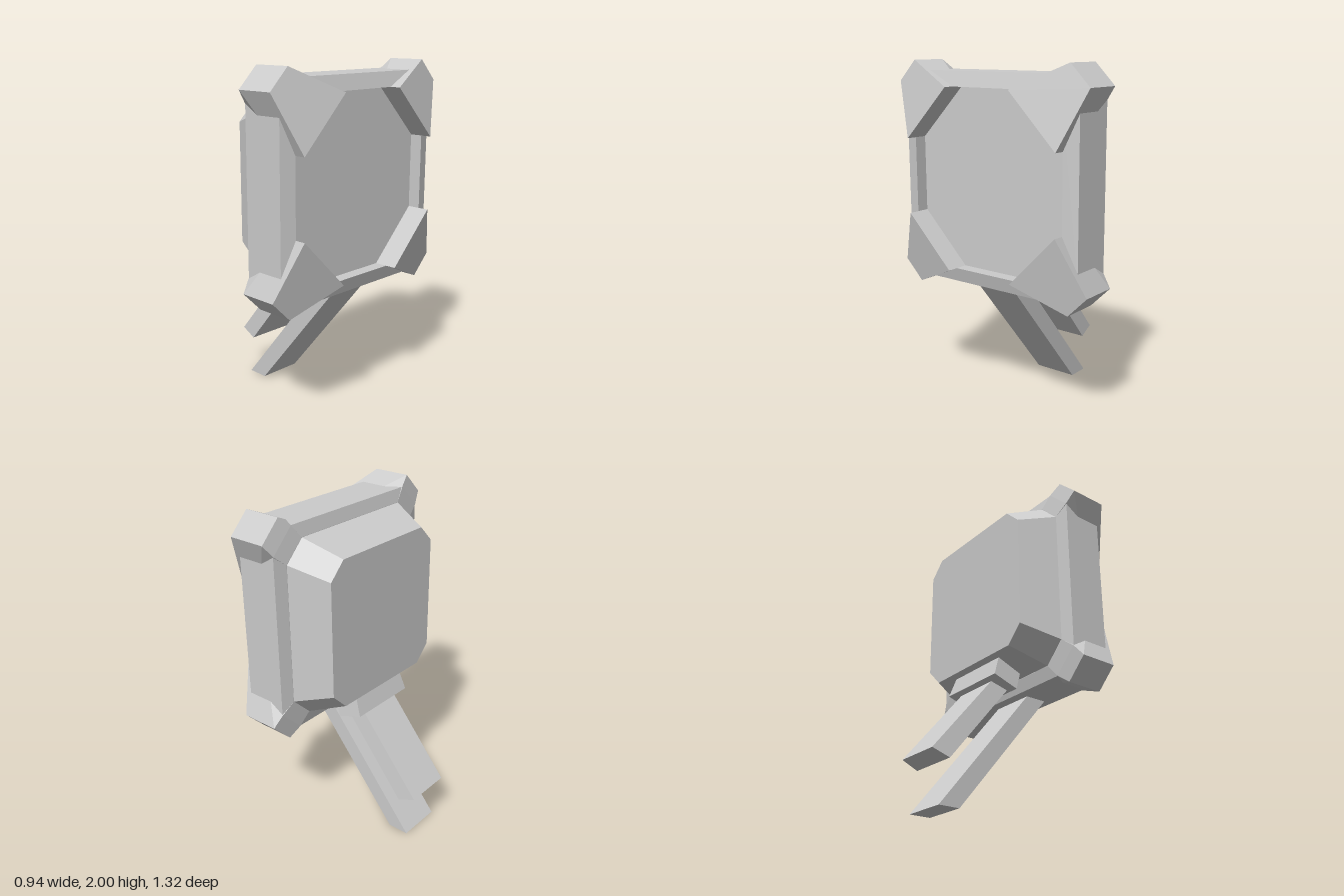
import * as THREE from 'three';
import { ConvexGeometry } from 'three/addons/geometries/ConvexGeometry.js';

const CY = 1.34; // height of the panel centre

const material = new THREE.MeshStandardMaterial({ color: 0xcccccc, flatShading: true });

function part(name, geometry, parent) {
  const mesh = new THREE.Mesh(geometry, material);
  mesh.name = name;
  parent.add(mesh);
  return mesh;
}

// Joins chamfered squares along x; each ring is [x, half size, half flat edge]
function loft(rings) {
  const loops = rings.map(([x, h, f]) =>
    [[h, -f], [h, f], [f, h], [-f, h], [-h, f], [-h, -f], [-f, -h], [f, -h]]
      .map(([y, z]) => [x, CY + y, z]));
  const pos = [];
  const tri = (a, b, c) => pos.push(...a, ...b, ...c);
  for (let r = 0; r < loops.length - 1; r++) {
    const a = loops[r], b = loops[r + 1];
    for (let i = 0; i < 8; i++) {
      const j = (i + 1) % 8;
      tri(a[i], a[j], b[j]);
      tri(a[i], b[j], b[i]);
    }
  }
  const first = loops[0], last = loops[loops.length - 1];
  for (let i = 1; i < 7; i++) {
    tri(first[0], first[i + 1], first[i]);
    tri(last[0], last[i], last[i + 1]);
  }
  const g = new THREE.BufferGeometry();
  g.setAttribute('position', new THREE.Float32BufferAttribute(pos, 3));
  g.computeVertexNormals();
  return g;
}

// Side outline in x, y given a half width in z at each corner
function prism(outline) {
  const pts = [];
  for (const [x, y, w] of outline) {
    pts.push(new THREE.Vector3(x, y, w), new THREE.Vector3(x, y, -w));
  }
  return new ConvexGeometry(pts);
}

export function createModel() {
  const model = new THREE.Group();
  model.name = 'panelOnStand';

  // Tapered housing behind the frame
  part('rearHousing', loft([[-0.115, 0.44, 0.34], [0.115, 0.53, 0.41]]), model);

  // Frame with bevelled edges and a recessed screen
  part('frame', loft([
    [0.11, 0.53, 0.41], [0.128, 0.605, 0.47], [0.38, 0.605, 0.47],
    [0.405, 0.52, 0.40], [0.33, 0.52, 0.40],
  ]), model);

  // Four corner guards: x, then the two distances from the panel centre
  const half = [
    [0.145, 0.54, 0.66], [0.375, 0.54, 0.66],
    [0.125, 0.47, 0.605], [0.11, 0.41, 0.53],
    [0.47, 0.22, 0.52], [0.33, 0.22, 0.52],
  ];
  for (const sy of [1, -1]) {
    for (const sz of [1, -1]) {
      const pts = [];
      for (const [x, a, b] of half) {
        pts.push(new THREE.Vector3(x, CY + sy * a, sz * b));
        pts.push(new THREE.Vector3(x, CY + sy * b, sz * a));
      }
      part((sy > 0 ? 'upper' : 'lower') + (sz > 0 ? 'Front' : 'Rear') + 'CornerGuard',
        new ConvexGeometry(pts), model);
    }
  }

  // Long slanted leg, cut flat at the ground
  part('longLeg', prism([
    [-0.415, 0, 0.135], [-0.285, 0, 0.135], [0.355, 0.77, 0.135], [0.22, 0.77, 0.135],
  ]), model);

  // Short leg behind it, slightly narrower on its upper face
  part('shortLeg', prism([
    [-0.47, 0.29, 0.143], [-0.365, 0.25, 0.155], [0.06, 0.77, 0.155], [-0.04, 0.81, 0.143],
  ]), model);

  // Collar joining the short leg to the housing
  part('legCollar', prism([
    [-0.118, 0.77, 0.22], [0.04, 0.717, 0.22], [0.095, 0.87, 0.2], [-0.062, 0.93, 0.2],
  ]), model);

  return model;
}
